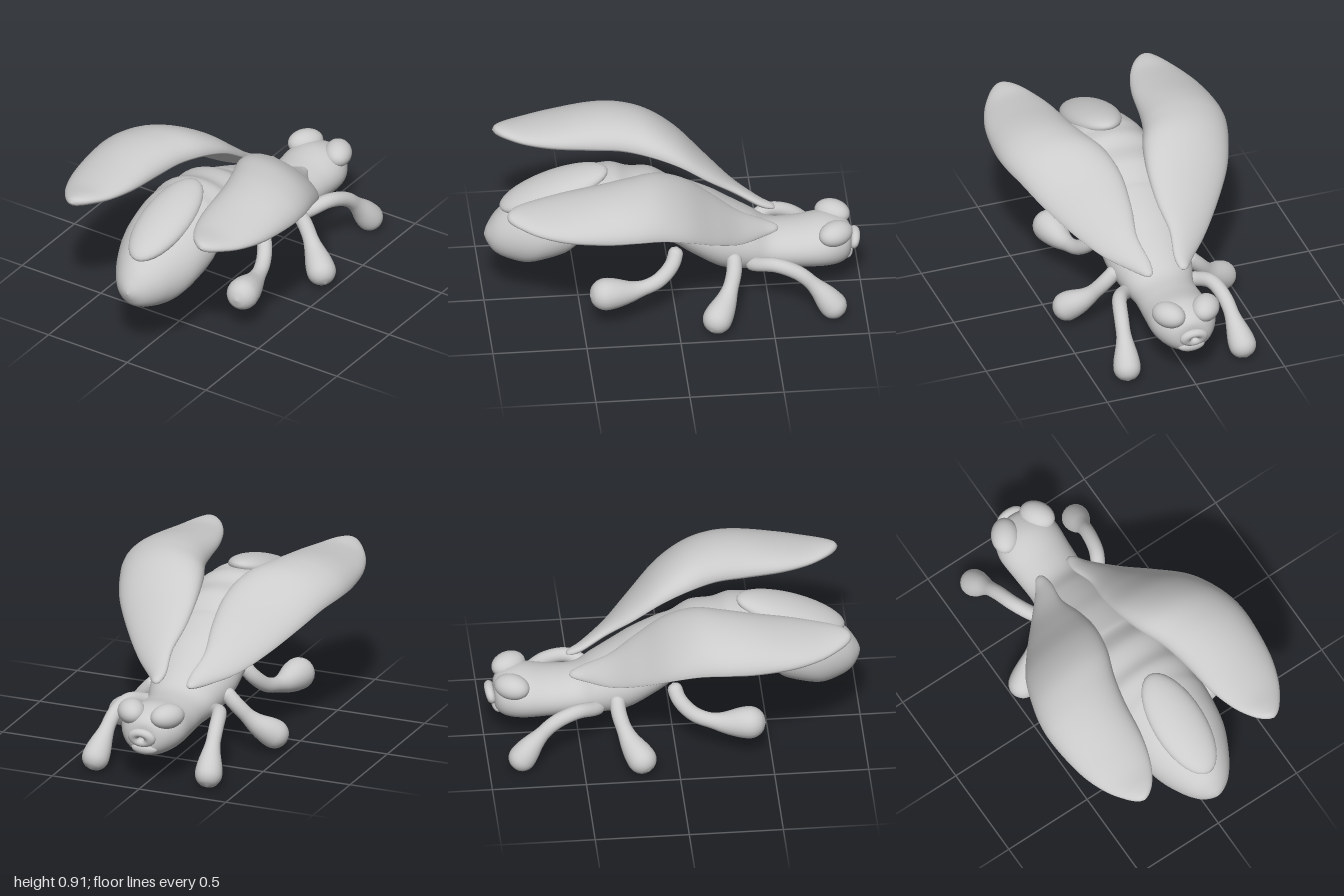
import * as THREE from 'three';

const material = new THREE.MeshStandardMaterial({ color: 0xcccccc, side: THREE.DoubleSide });

// Smooth interpolation through rows of numbers, t in 0..1
function sample(rows, t) {
  const f = t * (rows.length - 1);
  const i = Math.min(Math.floor(f), rows.length - 2);
  const u = f - i;
  const row = (k) => rows[Math.max(0, Math.min(rows.length - 1, k))];
  const [a, b, c, d] = [row(i - 1), row(i), row(i + 1), row(i + 2)];
  return b.map((_, k) => b[k] + 0.5 * u * (c[k] - a[k]
    + u * (2 * a[k] - 5 * b[k] + 4 * c[k] - d[k]
    + u * (3 * (b[k] - c[k]) + d[k] - a[k]))));
}

// Closed skin over rings of points
function loft(name, rings, flip = false) {
  const n = rings[0].length;
  const index = [];
  for (let i = 0; i < rings.length - 1; i++) {
    for (let j = 0; j < n; j++) {
      const a = i * n + j, b = i * n + (j + 1) % n;
      const c = a + n, d = b + n;
      if (flip) index.push(a, c, b, b, c, d);
      else index.push(a, b, c, b, d, c);
    }
  }
  const geometry = new THREE.BufferGeometry();
  geometry.setAttribute('position', new THREE.Float32BufferAttribute(rings.flat(2), 3));
  geometry.setIndex(index);
  geometry.computeVertexNormals();
  const mesh = new THREE.Mesh(geometry, material);
  mesh.name = name;
  return mesh;
}

function ring(count, point) {
  return Array.from({ length: count }, (_, j) => point((j / count) * Math.PI * 2));
}

function ellipsoid(name, position, radii, rotation = [0, 0, 0]) {
  const mesh = new THREE.Mesh(new THREE.SphereGeometry(1, 32, 20), material);
  mesh.name = name;
  mesh.position.set(...position);
  mesh.scale.set(...radii);
  mesh.rotation.set(...rotation);
  return mesh;
}

// Head, thorax and segmented abdomen: top z, top y, bottom z, bottom y, half width
function makeBody() {
  const rows = [
    [-0.95, 0.3, -0.95, 0.26, 0.005],
    [-0.945, 0.36, -0.94, 0.2, 0.085],
    [-0.9, 0.4, -0.89, 0.165, 0.14],
    [-0.8, 0.425, -0.8, 0.158, 0.178],
    [-0.65, 0.405, -0.65, 0.163, 0.172],
    [-0.52, 0.41, -0.5, 0.17, 0.168],
    [-0.42, 0.47, -0.4, 0.175, 0.195],
    [-0.3, 0.54, -0.3, 0.19, 0.225],
    [-0.2, 0.6, -0.22, 0.22, 0.24],
    [-0.06, 0.66, -0.1, 0.305, 0.245],
    [0.0, 0.68, 0.04, 0.4, 0.235],
    [0.1, 0.74, 0.14, 0.395, 0.26],
    [0.22, 0.755, 0.24, 0.42, 0.25],
    [0.3, 0.785, 0.38, 0.395, 0.265],
    [0.38, 0.785, 0.53, 0.405, 0.25],
    [0.46, 0.785, 0.62, 0.34, 0.255],
    [0.62, 0.745, 0.78, 0.29, 0.235],
    [0.8, 0.66, 0.88, 0.305, 0.175],
    [0.92, 0.57, 0.95, 0.34, 0.11],
    [0.98, 0.49, 0.985, 0.39, 0.05],
    [1.0, 0.44, 1.0, 0.43, 0.003],
  ];
  const rings = [];
  for (let i = 0; i <= 120; i++) {
    const [tz, ty, bz, by, w] = sample(rows, i / 120);
    rings.push(ring(40, (a) => {
      const s = (Math.sin(a) + 1) / 2;
      return [Math.cos(a) * w, by + (ty - by) * s, bz + (tz - bz) * s];
    }));
  }
  return loft('body', rings);
}

// Domed wing: z, inner x, inner y, outer x, outer y, rise of the top, drop of the underside
function makeWing(side) {
  const rows = [
    [-0.555, 0.098, 0.44, 0.102, 0.44, 0.002, 0.002],
    [-0.54, 0.075, 0.445, 0.125, 0.44, 0.018, 0.012],
    [-0.47, 0.068, 0.475, 0.175, 0.445, 0.033, 0.022],
    [-0.34, 0.09, 0.55, 0.29, 0.48, 0.05, 0.025],
    [-0.2, 0.07, 0.645, 0.41, 0.565, 0.08, 0.028],
    [-0.05, 0.07, 0.745, 0.52, 0.665, 0.112, 0.03],
    [0.1, 0.1, 0.8, 0.585, 0.73, 0.132, 0.04],
    [0.25, 0.155, 0.815, 0.625, 0.757, 0.13, 0.052],
    [0.4, 0.19, 0.81, 0.63, 0.763, 0.12, 0.06],
    [0.6, 0.22, 0.81, 0.605, 0.77, 0.08, 0.055],
    [0.75, 0.265, 0.812, 0.555, 0.782, 0.05, 0.04],
    [0.85, 0.32, 0.82, 0.495, 0.8, 0.036, 0.032],
    [0.9, 0.37, 0.82, 0.45, 0.81, 0.024, 0.022],
    [0.917, 0.41, 0.815, 0.415, 0.815, 0.002, 0.002],
  ];
  const rings = [];
  for (let i = 0; i <= 80; i++) {
    const [z, xi, yi, xo, yo, rise, drop] = sample(rows, i / 80);
    rings.push(ring(36, (a) => {
      const s = (Math.cos(a) + 1) / 2, h = Math.sin(a);
      const y = yi + (yo - yi) * s + h * (h > 0 ? rise : drop);
      return [side * (xi + (xo - xi) * s), y, z];
    }));
  }
  return loft(side > 0 ? 'leftWing' : 'rightWing', rings, side < 0);
}

// Bent leg that swells into a round foot; the last path point is the foot centre
function makeLeg(name, side, path, thin, foot) {
  const points = path.map(([x, y, z]) => new THREE.Vector3(side * x, y, z));
  const end = points[points.length - 1];
  const toe = end.clone().sub(points[points.length - 2]).setLength(foot).add(end);
  const curve = new THREE.CatmullRomCurve3([...points, toe]);
  const steps = 64;
  const length = curve.getLength();
  const frames = curve.computeFrenetFrames(steps);
  const rings = [];
  for (let i = 0; i <= steps; i++) {
    const p = curve.getPointAt(i / steps);
    const d = length * (1 - i / steps);
    const blend = THREE.MathUtils.smoothstep(d, foot, foot * 3.7);
    let r = foot + (thin - foot) * blend;
    if (d < foot) r = Math.sqrt(Math.max(1e-6, foot * foot - (foot - d) ** 2));
    // Rounded upper end
    const start = length - d;
    if (start < thin) r = Math.sqrt(Math.max(1e-6, thin * thin - (thin - start) ** 2));
    rings.push(ring(20, (a) => p.clone()
      .addScaledVector(frames.normals[i], Math.cos(a) * r)
      .addScaledVector(frames.binormals[i], Math.sin(a) * r).toArray()));
  }
  return loft(name, rings);
}

export function createModel() {
  const model = new THREE.Group();
  model.name = 'beetle';
  model.add(makeBody());

  // Light organ on the abdomen
  model.add(ellipsoid('lantern', [0, 0.705, 0.63], [0.142, 0.07, 0.305], [0.34, 0, 0]));

  // Round open mouth and lower jaw
  const mouth = new THREE.Mesh(new THREE.TorusGeometry(0.036, 0.024, 16, 32), material);
  mouth.name = 'mouth';
  mouth.position.set(0, 0.285, -0.965);
  mouth.rotation.x = -0.3;
  mouth.scale.set(1.3, 0.9, 1);
  model.add(mouth);
  model.add(ellipsoid('lowerJaw', [0, 0.215, -0.925], [0.075, 0.035, 0.035]));

  const legs = {
    FrontLeg: [[[0.15, 0.26, -0.39], [0.205, 0.285, -0.44], [0.26, 0.31, -0.53],
      [0.292, 0.27, -0.65], [0.31, 0.17, -0.755], [0.325, 0.08, -0.825]], 0.039, 0.073],
    MiddleLeg: [[[0.19, 0.36, -0.31], [0.26, 0.285, -0.305], [0.35, 0.18, -0.26],
      [0.435, 0.107, -0.2]], 0.041, 0.078],
    RearLeg: [[[0.165, 0.4, -0.01], [0.22, 0.325, 0.02], [0.265, 0.255, 0.1],
      [0.3, 0.225, 0.23], [0.325, 0.23, 0.383]], 0.04, 0.086],
  };
  for (const side of [1, -1]) {
    const prefix = side > 0 ? 'left' : 'right';
    model.add(makeWing(side));
    model.add(ellipsoid(prefix + 'Eye', [side * 0.103, 0.385, -0.86],
      [0.074, 0.066, 0.098], [0, side * 0.55, 0]));
    for (const [name, [path, thin, foot]] of Object.entries(legs)) {
      model.add(makeLeg(prefix + name, side, path, thin, foot));
    }
  }
  return model;
}
